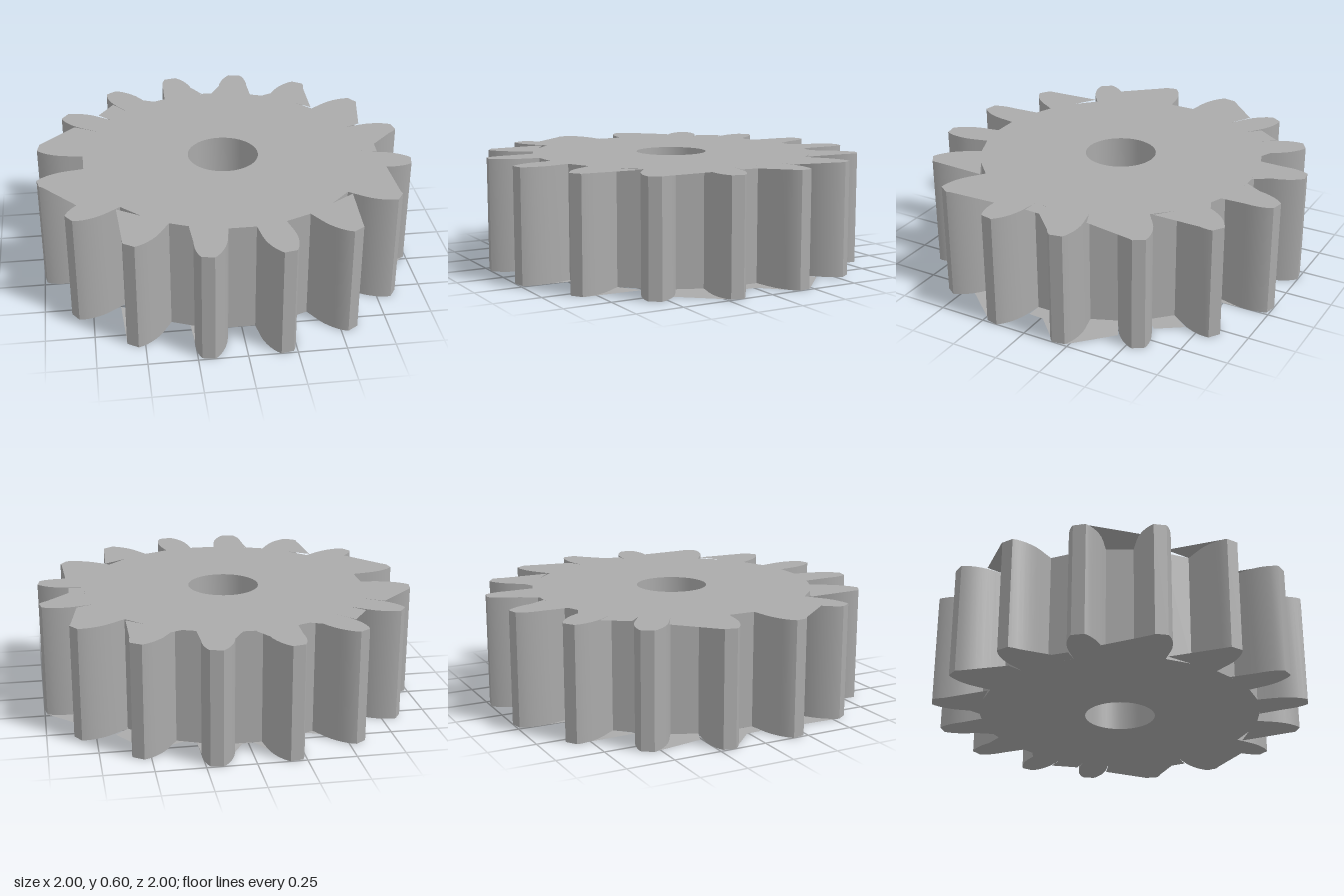
import * as THREE from 'three';
import { toCreasedNormals } from 'three/addons/utils/BufferGeometryUtils.js';

const HEIGHT = 0.6;
const TEETH = 16;
const BORE = 0.19;

// One tooth flank from root to tip: [radius, half-angle in degrees]
const FLANK = [
  [0.758, 5.95], [0.8, 5.75], [0.845, 5.6], [0.885, 5.3], [0.92, 4.75],
  [0.95, 4.1], [0.975, 3.4], [0.998, 2.6], [1.0136, 1.85],
];

// Thin webs across tooth gaps, as [x, z] outlines on the right (+x) half.
// right / left: faces (T top, B bottom) that carry the web on each half.
const WEBS = [
  { right: 'B', left: 'TB', pts: [[0.224, 0.724], [0.25, 0.9], [0.26, 0.71]] },
  { right: 'TB', left: 'TB', pts: [[0.59, 0.82], [0.605, 0.505], [0.484, 0.583], [0.5, 0.68]] },
  { right: 'T', left: 'B', pts: [[0.855, 0.53], [0.845, 0.25], [0.724, 0.224], [0.67, 0.353]] },
  { right: 'B', left: 'T', pts: [[0.995, 0.21], [0.8, 0.44], [0.67, 0.353], [0.724, 0.224]] },
  { right: 'TB', left: 'B', pts: [[1, -0.17], [0.84, -0.01], [0.835, 0.075], [0.755, 0.07], [0.755, -0.07]] },
  { right: 'T', left: 'B', pts: [[0.858, -0.54], [0.81, -0.26], [0.724, -0.224], [0.67, -0.353]] },
  { right: 'B', left: 'T', pts: [[0.99, -0.23], [0.79, -0.42], [0.67, -0.353], [0.724, -0.224]] },
  { right: 'T', left: 'B', pts: [[0.585, -0.83], [0.58, -0.5], [0.484, -0.583], [0.5, -0.68]] },
  { right: 'B', left: 'T', pts: [[0.56, -0.68], [0.65, -0.55], [0.583, -0.484], [0.484, -0.583]] },
  { right: 'TB', left: 'TB', pts: [[0.25, -0.9], [0.255, -0.715], [0.32, -0.69], [0.39, -0.72], [0.353, -0.67], [0.224, -0.724]] },
  { right: 'TB', left: 'TB', pts: [[0, -0.755], [0.07, -0.755], [0.09, -0.86], [0.03, -0.76], [0, -0.76]] },
];

function gearShape() {
  const points = [];
  const add = (r, deg) => {
    const a = THREE.MathUtils.degToRad(deg);
    points.push(new THREE.Vector2(r * Math.cos(a), r * Math.sin(a)));
  };
  for (let i = 0; i < TEETH; i++) {
    const centre = (i + 0.5) * 360 / TEETH;
    FLANK.forEach(([r, half]) => add(r, centre - half));
    [...FLANK].reverse().forEach(([r, half]) => add(r, centre + half));
  }
  return new THREE.Shape(points);
}

function cutHole(shape, radius) {
  shape.holes.push(new THREE.Path().absarc(0, 0, radius, 0, Math.PI * 2, true));
  return shape;
}

// Extrude a plan outline upward from y = 0
function extrudeUp(shape, depth) {
  const geometry = new THREE.ExtrudeGeometry(shape, { depth, bevelEnabled: false, curveSegments: 24 });
  geometry.rotateX(-Math.PI / 2);
  return toCreasedNormals(geometry, 0.5);
}

export function createModel() {
  const group = new THREE.Group();
  group.name = 'spurGear';
  const grey = new THREE.MeshStandardMaterial({ color: 0xaaaaaa, side: THREE.DoubleSide });
  grey.name = 'grey';

  const addMesh = (name, geometry, y = 0) => {
    const mesh = new THREE.Mesh(geometry, grey);
    mesh.name = name;
    mesh.position.y = y;
    group.add(mesh);
  };

  // Toothed body with its wide bore
  addMesh('gearBody', extrudeUp(cutHole(gearShape(), BORE), HEIGHT));

  // Collar halfway down the bore, with a narrow shaft hole
  const collar = new THREE.Shape().absarc(0, 0, BORE, 0, Math.PI * 2, false);
  addMesh('boreCollar', extrudeUp(cutHole(collar, 0.085), 0.12), 0.24);

  // Flat webs between teeth
  for (const { right, left, pts } of WEBS) {
    for (const [sign, faces] of [[1, right], [-1, left]]) {
      const shape = new THREE.Shape(pts.map(([x, z]) => new THREE.Vector2(sign * x, -z)));
      for (const face of faces) {
        const geometry = new THREE.ShapeGeometry(shape).rotateX(-Math.PI / 2);
        addMesh(face === 'T' ? 'topWeb' : 'bottomWeb', geometry, face === 'T' ? HEIGHT : 0);
      }
    }
  }
  return group;
}
